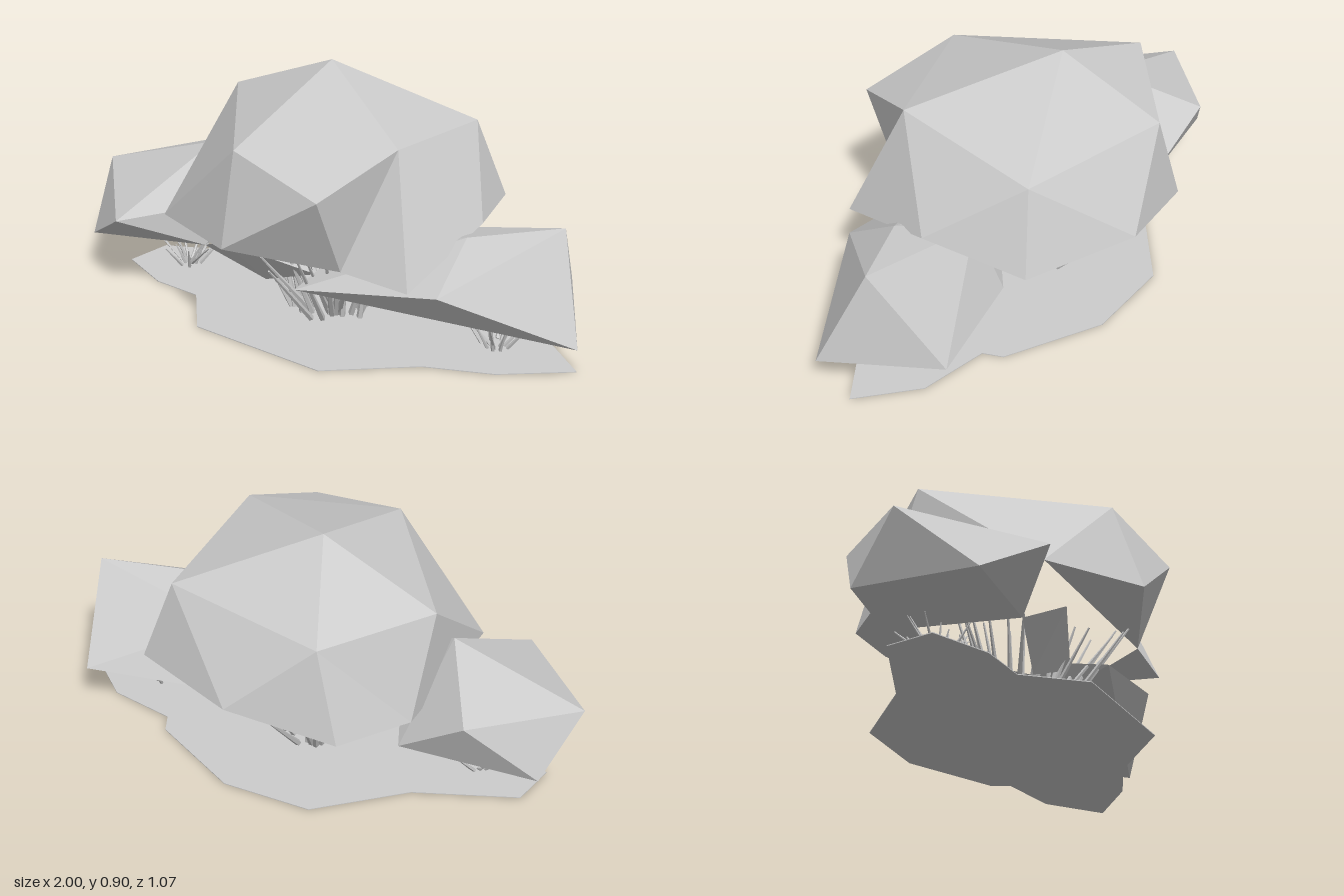
import * as THREE from 'three';
import { ConvexGeometry } from 'three/addons/geometries/ConvexGeometry.js';
import { mergeGeometries } from 'three/addons/utils/BufferGeometryUtils.js';

const grey = new THREE.MeshStandardMaterial({ color: 0xcccccc, flatShading: true });
grey.name = 'plainGrey';

function part(name, geometry) {
  const mesh = new THREE.Mesh(geometry, grey);
  mesh.name = name;
  return mesh;
}

// A faceted leaf mass spanned by its corner points
function clump(name, corners) {
  return part(name, new ConvexGeometry(corners.map((c) => new THREE.Vector3(...c))));
}

// A faceted open leaf mass: each triangle is turned to face away from the centre
function shell(name, corners, faces, centre) {
  const points = [];
  for (const face of faces) {
    const [a, b, c] = face.map((i) => new THREE.Vector3(...corners[i]));
    const normal = new THREE.Triangle(a, b, c).getNormal(new THREE.Vector3());
    const outward = normal.dot(a.clone().sub(centre)) > 0;
    points.push(a, ...(outward ? [b, c] : [c, b]));
  }
  const geometry = new THREE.BufferGeometry().setFromPoints(points);
  geometry.computeVertexNormals();
  return part(name, geometry);
}

function seeded(seed) {
  return () => {
    seed = (seed * 16807) % 2147483647;
    return seed / 2147483647;
  };
}

// A tuft of tapering stems that lean outwards
function stems(name, cx, count, baseRadius, height, lean, thickness, seed) {
  const rnd = seeded(seed);
  const up = new THREE.Vector3(0, 1, 0);
  const list = [];
  for (let i = 0; i < count; i++) {
    const angle = i * 2.39996 + rnd() * 0.5;
    const r = baseRadius * Math.sqrt(rnd());
    const out = r + lean * (0.2 + 0.8 * rnd());
    const base = new THREE.Vector3(cx + r * Math.cos(angle), 0.015, r * Math.sin(angle));
    const tip = new THREE.Vector3(cx + out * Math.cos(angle), height * (0.7 + 0.3 * rnd()), out * Math.sin(angle));
    const dir = tip.clone().sub(base);
    const g = new THREE.CylinderGeometry(thickness * 0.3, thickness, dir.length(), 5);
    g.applyQuaternion(new THREE.Quaternion().setFromUnitVectors(up, dir.clone().normalize()));
    const mid = base.add(tip).multiplyScalar(0.5);
    g.translate(mid.x, mid.y, mid.z);
    list.push(g);
  }
  return part(name, mergeGeometries(list));
}

export function createModel() {
  const bush = new THREE.Group();
  bush.name = 'bush';

  // Thin flat patch of ground
  const outline = [
    [-0.83, -0.09], [-0.87, 0.08], [-0.67, 0.18], [-0.48, 0.2], [-0.335, 0.4], [0.2, 0.45],
    [0.49, 0.245], [0.73, 0.165], [0.96, 0.01], [0.77, -0.16], [0.52, -0.21], [0.49, -0.28],
    [0.15, -0.46], [-0.18, -0.46], [-0.47, -0.225],
  ].map(([x, z]) => new THREE.Vector2(x, -z));
  const ground = new THREE.ExtrudeGeometry(new THREE.Shape(outline), { depth: 0.003, bevelEnabled: false });
  bush.add(part('groundPatch', ground.rotateX(-Math.PI / 2)));

  // Large middle leaf mass, open underneath
  bush.add(shell('middleFoliage', [
    // crown and shoulders
    [-0.075, 0.905, -0.11],
    [-0.14, 0.73, 0.425], [0.375, 0.768, 0.225], [0.4, 0.7, -0.32], [-0.2, 0.67, -0.435], [-0.505, 0.73, -0.15],
    // skirt
    [0.24, 0.657, 0.52], [-0.13, 0.41, 0.527], [-0.525, 0.365, 0.31], [0.25, 0.36, 0.385], [0.505, 0.345, 0.39],
    [0.58, 0.46, -0.01], [0.495, 0.41, -0.38], [0.095, 0.412, -0.545], [-0.29, 0.333, -0.475], [-0.48, 0.36, -0.28],
    // inner rim
    [0.09, 0.37, -0.3], [0.42, 0.33, 0.1],
  ], [
    [0, 1, 2], [0, 2, 3], [0, 3, 4], [0, 4, 5], [0, 5, 1],
    [1, 2, 6], [1, 6, 7], [1, 7, 8], [1, 5, 8], [5, 8, 15], [5, 4, 15], [4, 15, 14], [4, 14, 13],
    [4, 3, 13], [3, 13, 12], [3, 12, 11], [3, 2, 11], [2, 11, 10], [2, 10, 9], [2, 9, 6], [6, 9, 7],
    [7, 8, 9], [13, 14, 16], [14, 15, 16], [12, 13, 16], [12, 16, 17], [11, 12, 17], [10, 11, 17], [9, 10, 17],
  ], new THREE.Vector3(0, 0.5, 0)));

  // Low leaf mass at -x, with a smaller lobe running inwards
  bush.add(clump('rightFoliage', [
    [-1, 0.38, 0], [-0.685, 0.33, 0.39], [-0.91, 0.175, 0.245], [-0.91, 0.175, -0.18],
    [-0.68, 0.42, -0.32], [-0.52, 0.54, 0], [-0.44, 0.25, -0.29], [-0.43, 0.22, 0.2], [-0.3, 0.4, 0.1],
  ]));
  bush.add(clump('rightInnerFoliage', [
    [-0.43, 0.22, 0.2], [-0.2, 0.118, 0.15], [0.04, 0.22, 0.2], [-0.28, 0.31, 0.3], [-0.12, 0.27, 0.1],
  ]));

  // Low leaf mass at +x
  bush.add(clump('leftFoliage', [
    [0.875, 0.505, -0.025], [0.805, 0.193, -0.29], [0.998, 0.146, 0.115], [0.58, 0.318, 0.325],
    [0.04, 0.22, 0.34], [0.345, 0.16, -0.17], [0.58, 0.455, 0.11], [0.35, 0.38, -0.05], [0.1, 0.3, 0.05],
  ]));

  // Stem tufts under each mass
  bush.add(stems('middleStems', 0, 50, 0.16, 0.4, 0.28, 0.012, 11));
  bush.add(stems('rightStems', -0.65, 14, 0.05, 0.14, 0.13, 0.007, 23));
  bush.add(stems('leftStems', 0.65, 14, 0.05, 0.18, 0.13, 0.007, 37));
  return bush;
}
